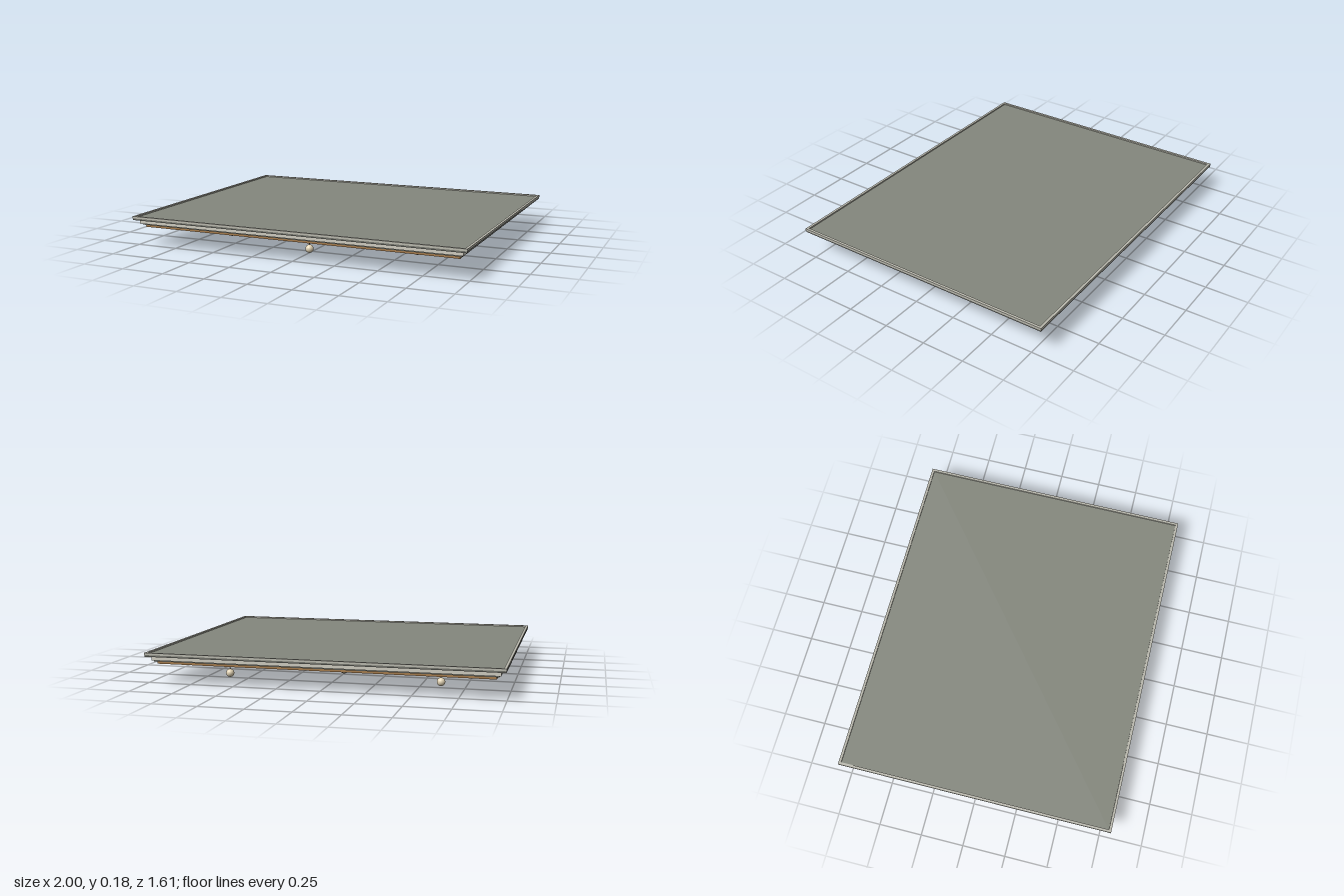
import * as THREE from 'three';

const mat = (color) => new THREE.MeshStandardMaterial({ color });
const trim = mat(0xb9b8ad), shadow = mat(0x6f7069), plaster = mat(0xcfccc0);
const slab = mat(0x84877d), wood = mat(0xa37a4b), metal = mat(0x3a3632), glass = mat(0xe2d3b4);

export function createModel() {
  const group = new THREE.Group();

  const add = (parent, name, geometry, material, x, y, z) => {
    const mesh = new THREE.Mesh(geometry, material);
    mesh.name = name;
    mesh.position.set(x, y, z);
    parent.add(mesh);
    return mesh;
  };
  const box = (name, w, h, d, material, x, y, z) =>
    add(group, name, new THREE.BoxGeometry(w, h, d), material, x, y, z);

  // Rectangular ring lying flat, from y0 to y1, with half sizes hx and hz
  const ring = (name, hx, hz, width, y0, y1, material) => {
    const rect = (Type, a, b) => new Type([[-a, -b], [a, -b], [a, b], [-a, b]].map(p => new THREE.Vector2(...p)));
    const shape = rect(THREE.Shape, hx, hz);
    shape.holes.push(rect(THREE.Path, hx - width, hz - width));
    const geometry = new THREE.ExtrudeGeometry(shape, { depth: y1 - y0, bevelEnabled: false });
    geometry.rotateX(-Math.PI / 2);
    add(group, name, geometry, material, 0, y0, 0);
  };

  // Ceiling slab and the stepped cornice around it
  box('ceilingPanel', 1.92, 0.044, 1.53, slab, 0, 0.147, 0);
  box('roofPanel', 1.972, 0.012, 1.582, slab, 0, 0.164, 0);
  ring('topTrim', 1, 0.805, 0.015, 0.166, 0.178, trim);
  ring('shadowStrip', 0.998, 0.803, 0.05, 0.156, 0.166, shadow);
  ring('corniceStep', 0.97, 0.775, 0.04, 0.132, 0.156, plaster);

  // Wooden border and the two cross beams
  const beamY = 0.121, beamH = 0.022;
  for (const s of [-1, 1]) {
    box('sideBeam', 0.022, beamH, 1.502, wood, s * 0.935, beamY, 0);
    box('endBeam', 1.848, beamH, 0.022, wood, 0, beamY, s * 0.739);
  }
  for (const z of [-0.355, 0.195]) box('crossBeam', 1.848, beamH, 0.026, wood, 0, beamY, z);

  // Pendant lamps: x, height of globe centre, z
  const ceilingY = 0.125, radius = 0.0235;
  const lamps = [
    [0.595, 0.035, -0.54], [0.587, 0.035, -0.123], [0.59, 0.035, 0.38],
    [0, 0.0235, -0.228], [0, 0.0235, 0.118], [0, 0.0235, 0.535],
    [-0.62, 0.035, -0.508], [-0.592, 0.035, -0.123], [-0.592, 0.035, 0.38],
  ];
  for (const [x, y, z] of lamps) {
    const lamp = new THREE.Group();
    lamp.name = 'pendantLamp';
    lamp.position.set(x, 0, z);
    const length = ceilingY - y;
    add(lamp, 'canopy', new THREE.CylinderGeometry(0.011, 0.011, 0.008, 16), metal, 0, ceilingY - 0.004, 0);
    add(lamp, 'cord', new THREE.CylinderGeometry(0.0025, 0.0025, length, 8), metal, 0, y + length / 2, 0);
    add(lamp, 'globe', new THREE.SphereGeometry(radius, 24, 16), glass, 0, y, 0);
    group.add(lamp);
  }
  return group;
}
